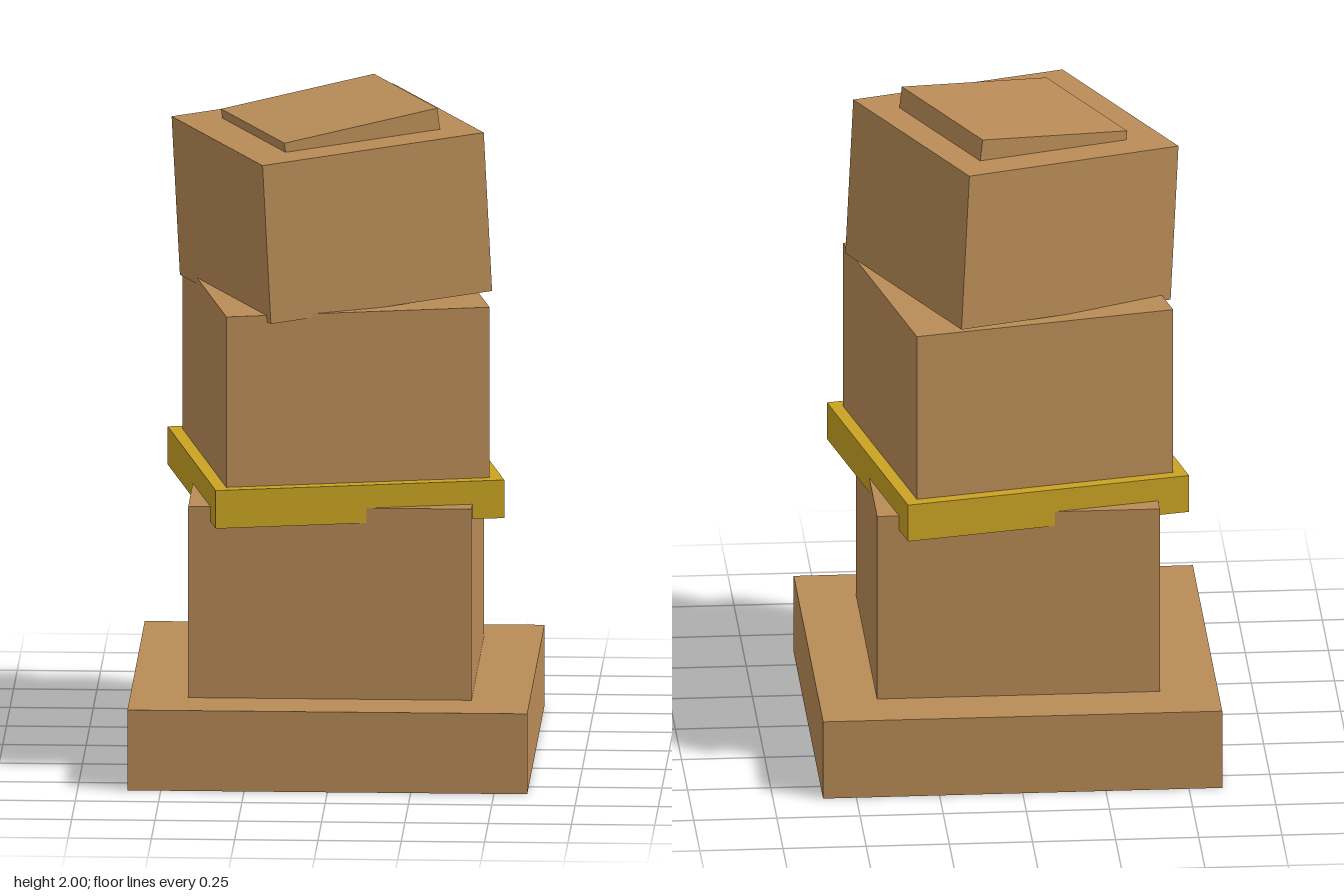
import * as THREE from 'three';

export function createModel() {
  const model = new THREE.Group();
  const sandstone = new THREE.MeshStandardMaterial({ color: 0xb98c57 });
  sandstone.name = 'sandstone';
  const gold = new THREE.MeshStandardMaterial({ color: 0xc9a323 });
  gold.name = 'gold';

  // Square block resting on its bottom centre, turned about y and tipped about its own z
  function block(name, material, width, height, position, turn = 0, tip = 0) {
    const geometry = new THREE.BoxGeometry(width, height, width);
    geometry.translate(0, height / 2, 0);
    const mesh = new THREE.Mesh(geometry, material);
    mesh.name = name;
    mesh.position.set(...position);
    mesh.rotation.set(0, turn, tip);
    model.add(mesh);
  }

  // Straight foot and lower block
  block('base', sandstone, 1.2, 0.247, [0, 0, 0]);
  block('lowerBlock', sandstone, 0.85, 0.59, [0, 0.245, 0]);

  // Twisted middle with its gold band
  block('goldBand', gold, 0.877, 0.117, [0, 0.789, 0], 0.208);
  block('middleBlock', sandstone, 0.8, 0.595, [0, 0.835, 0], 0.208);

  // Leaning top block and its steeper cap, sunk into the block below
  block('upperBlock', sandstone, 0.718, 0.49, [0, 1.43, 0], 0.433, 0.055);
  block('cap', sandstone, 0.5, 0.12, [-0.006, 1.848, -0.001], 0.433, 0.13);

  return model;
}
